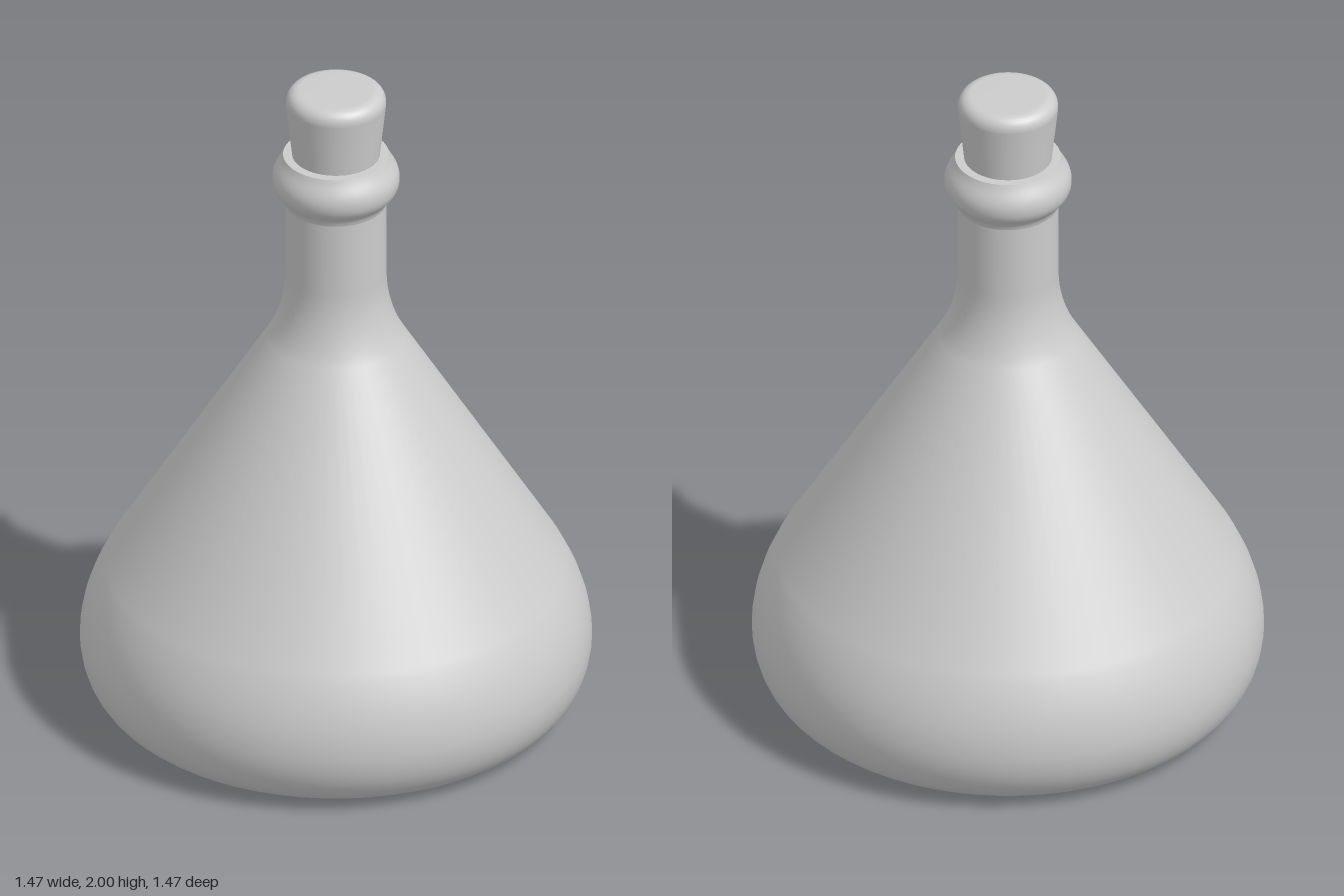
import * as THREE from 'three';

const SEGMENTS = 64;

export function createModel() {
  const flask = new THREE.Group();
  flask.name = 'stopperedFlask';
  const material = new THREE.MeshStandardMaterial({ color: 0xcccccc });

  // Revolves a profile; separate profiles keep the edge between them sharp
  const turn = (name, path, divisions = 8) => {
    const points = path.getPoints(divisions);
    const mesh = new THREE.Mesh(new THREE.LatheGeometry(points, SEGMENTS), material);
    mesh.name = name;
    flask.add(mesh);
  };
  const startAt = (x, y) => new THREE.Path().moveTo(x, y);

  // Slightly hollowed underside, rounded belly, cone, shoulder and neck
  turn('body', startAt(0, 0.015)
    .lineTo(0.38, 0.012)
    .lineTo(0.56, 0.002)
    .bezierCurveTo(0.59, 0, 0.6, 0, 0.63, 0.015)
    .bezierCurveTo(0.7, 0.045, 0.735, 0.12, 0.735, 0.2)
    .bezierCurveTo(0.735, 0.29, 0.7, 0.37, 0.66, 0.44)
    .lineTo(0.2, 1.19)
    .bezierCurveTo(0.168, 1.245, 0.145, 1.32, 0.145, 1.4)
    .lineTo(0.145, 1.64));

  // Bulging collar around the mouth
  turn('collar', startAt(0.145, 1.63)
    .bezierCurveTo(0.148, 1.66, 0.183, 1.665, 0.183, 1.71)
    .bezierCurveTo(0.183, 1.745, 0.162, 1.76, 0.152, 1.788));

  // Flat rim and the bore going down into the neck
  turn('rim', startAt(0.152, 1.788).lineTo(0.115, 1.788), 1);
  turn('bore', startAt(0.115, 1.788).lineTo(0.112, 1.5), 1);

  // Tapered stopper with a rounded top edge
  turn('stopper', startAt(0.11, 1.6)
    .lineTo(0.126, 1.788)
    .lineTo(0.144, 1.955)
    .bezierCurveTo(0.146, 1.982, 0.13, 2, 0.105, 2)
    .lineTo(0, 2));
  turn('stopperBase', startAt(0, 1.6).lineTo(0.11, 1.6), 1);

  return flask;
}
